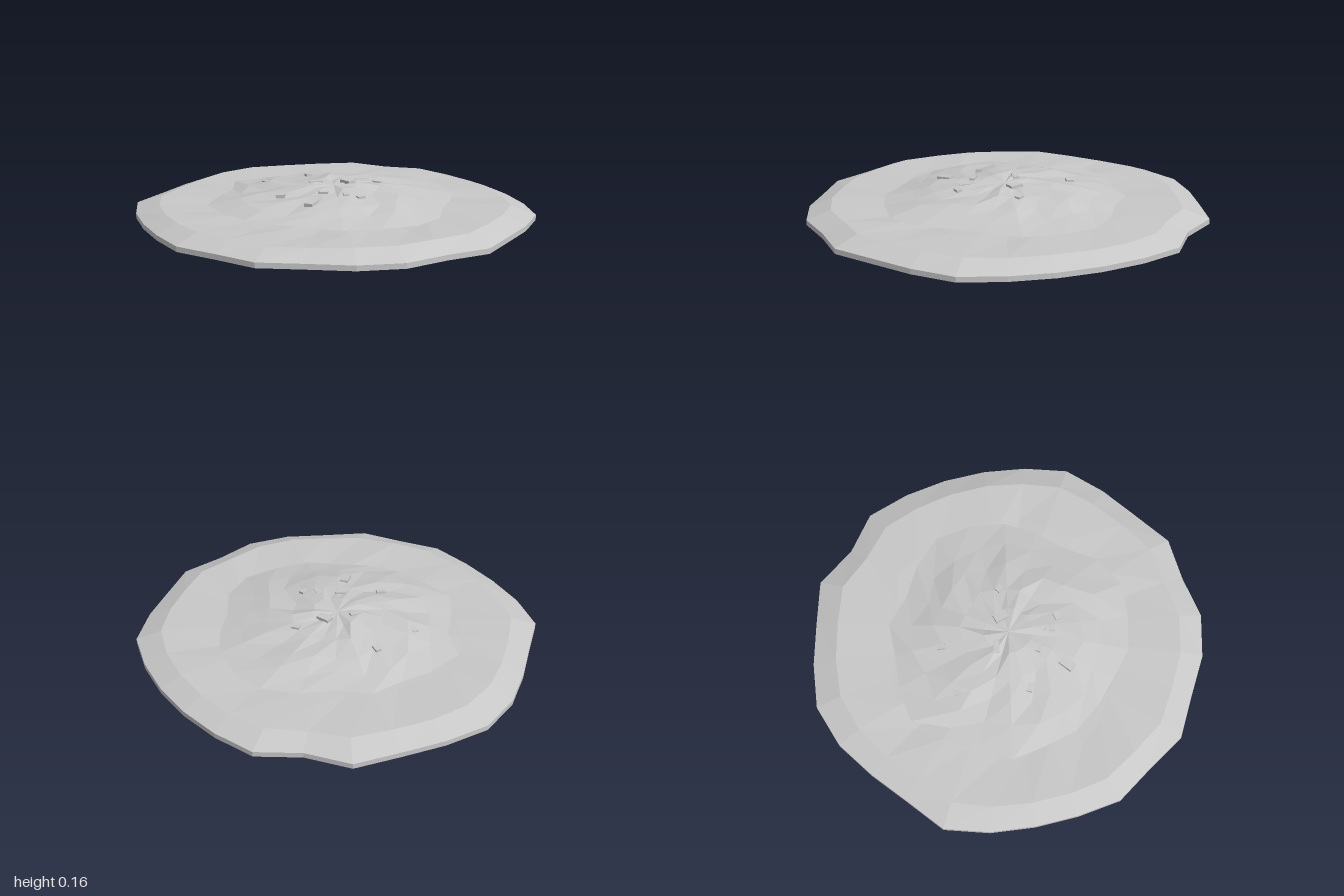
import * as THREE from 'three';

// Rim radii, counter-clockwise from the front (+z towards +x)
const SLAB = [1, .968, .99, 1, .967, 1.008, .972, .985, 1.014, .984, .968, .968, .984, 1.014,
  .96, 1.026, .988, .996, 1.024, 1.004, .973, .97, 1.021, .991, .968, .968, .993, .968];
const MOUND = [.57, .61, .62, .65, .63, .57, .59, .63, .645, .658, .61,
  .565, .61, .58, .61, .655, .56, .59, .64, .60, .596, .574];

// Mound height by fraction of its radius
const PROFILE = [[0, .148], [.2, .151], [.4, .141], [.6, .123], [.8, .102], [1, .077]];

function seeded(seed) {
  return () => {
    seed = (seed * 16807) % 2147483647;
    return seed / 2147483647;
  };
}

// Join rings of points, wound so that inward and upward means facing up
function loft(rings) {
  const pos = [];
  const tri = (a, b, c) => {
    if (a.equals(b) || b.equals(c) || a.equals(c)) return;
    for (const p of [a, b, c]) pos.push(p.x, p.y, p.z);
  };
  for (let k = 0; k < rings.length - 1; k++) {
    const lo = rings[k], hi = rings[k + 1], n = lo.length;
    for (let i = 0; i < n; i++) {
      const j = (i + 1) % n;
      tri(lo[i], lo[j], hi[j]);
      tri(lo[i], hi[j], hi[i]);
    }
  }
  const geo = new THREE.BufferGeometry();
  geo.setAttribute('position', new THREE.Float32BufferAttribute(pos, 3));
  geo.computeVertexNormals();
  return geo;
}

// One ring from radii, a radius rule, a height rule and an angle offset in steps
function ring(radii, radius, height, offset = 0) {
  return radii.map((r, i) => {
    const a = ((i + offset) / radii.length) * Math.PI * 2;
    const d = radius(r);
    return new THREE.Vector3(Math.sin(a) * d, height(), Math.cos(a) * d);
  });
}

function profileHeight(t) {
  const k = Math.max(1, PROFILE.findIndex(([s]) => s >= t));
  const [t0, y0] = PROFILE[k - 1], [t1, y1] = PROFILE[k];
  return y0 + ((y1 - y0) * (t - t0)) / (t1 - t0);
}

function slabGeometry() {
  const rnd = seeded(41);
  return loft([
    ring(SLAB, () => 0, () => 0),
    ring(SLAB, (r) => r, () => 0),
    ring(SLAB, (r) => r, () => .026),
    ring(SLAB, (r) => r * .6 + .28, () => .068 + (rnd() - .5) * .008),
    ring(SLAB, () => .62 + (rnd() - .5) * .1, () => .067 + (rnd() - .5) * .014),
    ring(SLAB, () => .3, () => .067),
    ring(SLAB, () => 0, () => .067),
  ]);
}

function moundGeometry() {
  const rnd = seeded(77);
  const rings = PROFILE.slice().reverse().map(([t, y]) => {
    if (t === 0) return ring(MOUND, () => 0, () => y);
    const rough = t === 1 ? .004 : .022;
    const radius = (r) => (t === 1 ? r : t * (.6 + (r - .6) * t + (rnd() - .5) * .07));
    return ring(MOUND, radius, () => y + (rnd() - .5) * rough, .5);
  });
  return loft(rings);
}

// Loose stones: x, z, width, depth, turn, lift
const STONES = [
  [.05, -.075, .07, .045, -.5, .003], [-.10, -.01, .07, .03, .6, .001],
  [.01, .175, .05, .025, .2, .001], [.01, .335, .045, .075, -.1, .006],
  [-.235, -.255, .04, .03, -.9, -.001], [.18, -.16, .04, .03, -.2, 0],
  [-.395, -.06, .04, .03, -.7, 0], [-.19, .24, .045, .03, .3, 0],
  [.125, .165, .03, .055, .5, .001], [.2, .165, .03, .04, -.6, 0],
];

export function createModel() {
  const model = new THREE.Group();
  model.name = 'stonyMound';
  const stone = new THREE.MeshStandardMaterial({ color: 0xc8c8c8, flatShading: true, side: THREE.DoubleSide });
  stone.name = 'pale grey stone';

  const add = (name, geo, parent = model) => {
    const mesh = new THREE.Mesh(geo, stone);
    mesh.name = name;
    parent.add(mesh);
    return mesh;
  };

  // Bevelled slab and the rubble heap on it
  add('baseSlab', slabGeometry());
  add('rubbleMound', moundGeometry());

  // Half-buried blocks, tilted with the slope
  const blocks = new THREE.Group();
  blocks.name = 'looseStones';
  model.add(blocks);
  STONES.forEach(([x, z, w, d, turn, lift], i) => {
    const mesh = add(`stone${i + 1}`, new THREE.BoxGeometry(w, .018, d), blocks);
    mesh.position.set(x, profileHeight(Math.hypot(x, z) / .6) + lift, z);
    mesh.rotation.set(z * .2, turn, -x * .2);
  });
  return model;
}
